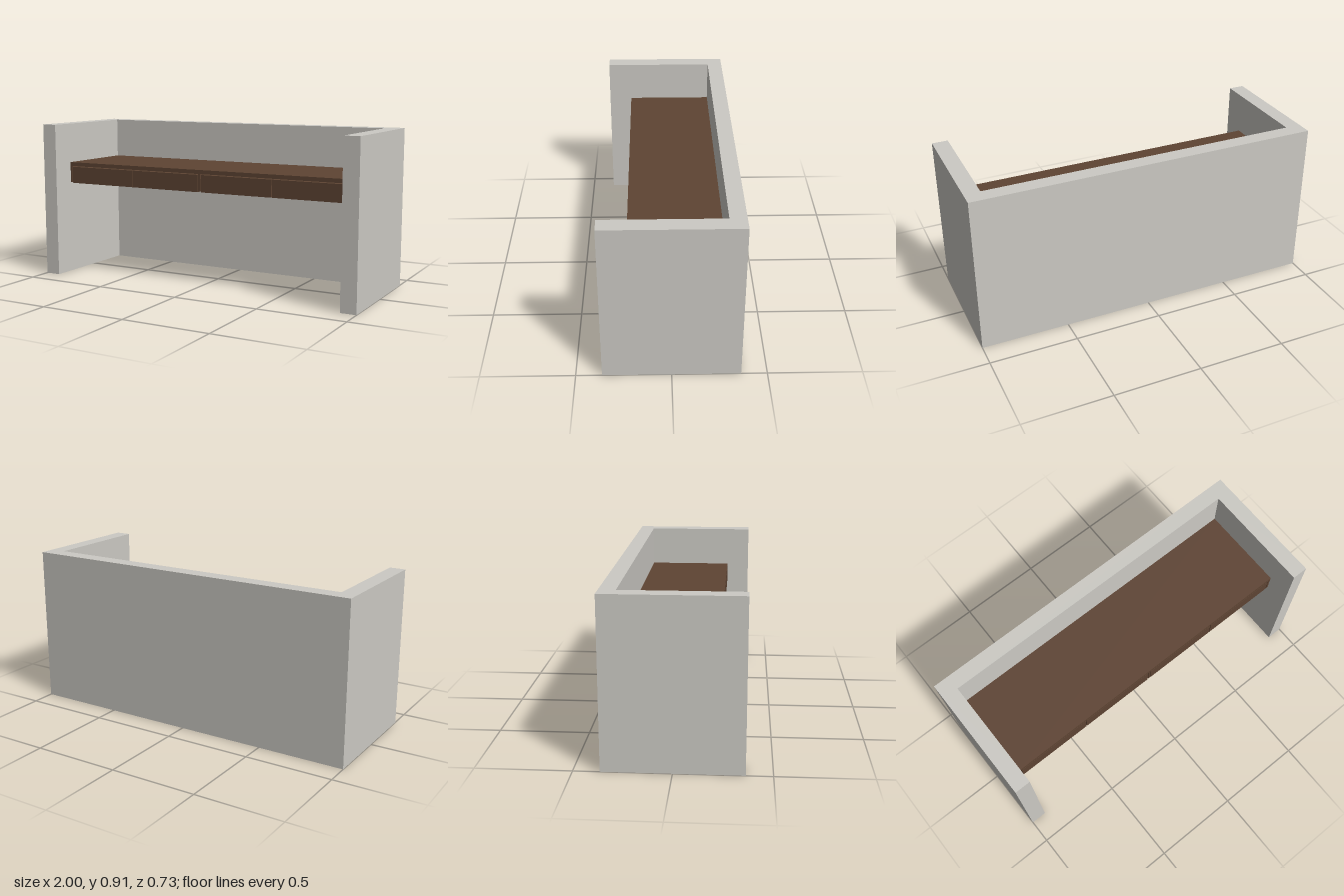
import * as THREE from 'three';

export function createModel() {
  const group = new THREE.Group();
  const shellMat = new THREE.MeshStandardMaterial({ color: 0xcccac4 });
  const woodMat = new THREE.MeshStandardMaterial({ color: 0x5e4433 });

  const W = 1, D = 0.363, H = 0.91; // half width, half depth, height
  const inX = 0.91, inZ = -0.275; // inner faces of the shell
  const front = 0.225; // front edge of the desktop

  // Box given by its minimum and maximum corners
  const box = (name, x0, x1, y0, y1, z0, z1) => {
    const mesh = new THREE.Mesh(new THREE.BoxGeometry(x1 - x0, y1 - y0, z1 - z0), woodMat);
    mesh.position.set((x0 + x1) / 2, (y0 + y1) / 2, (z0 + z1) / 2);
    mesh.name = name;
    group.add(mesh);
  };

  // U-shaped surround: plan drawn with -z as shape y, extruded upwards
  const plan = new THREE.Shape([
    [-W, -D], [-inX, -D], [-inX, -inZ], [inX, -inZ],
    [inX, -D], [W, -D], [W, D], [-W, D],
  ].map(([x, y]) => new THREE.Vector2(x, y)));
  const shell = new THREE.Mesh(
    new THREE.ExtrudeGeometry(plan, { depth: H, bevelEnabled: false }).rotateX(-Math.PI / 2),
    shellMat);
  shell.name = 'surround';
  group.add(shell);

  // Desktop slab
  box('desktop', -inX, inX, 0.652, 0.675, inZ, front);

  // Side rails and centre divider of the drawer case
  box('rightRail', -inX, -0.897, 0.553, 0.652, inZ, front);
  box('leftRail', 0.897, inX, 0.553, 0.652, inZ, front);
  box('centreDivider', -0.007, 0.007, 0.553, 0.652, inZ, front);

  // Four drawers, in pairs either side of the divider, with narrow gaps
  for (const [x0, x1] of [[-0.893, -0.454], [-0.45, -0.011], [0.011, 0.45], [0.454, 0.893]]) {
    box('drawer', x0, x1, 0.548, 0.647, inZ, front);
  }
  return group;
}
